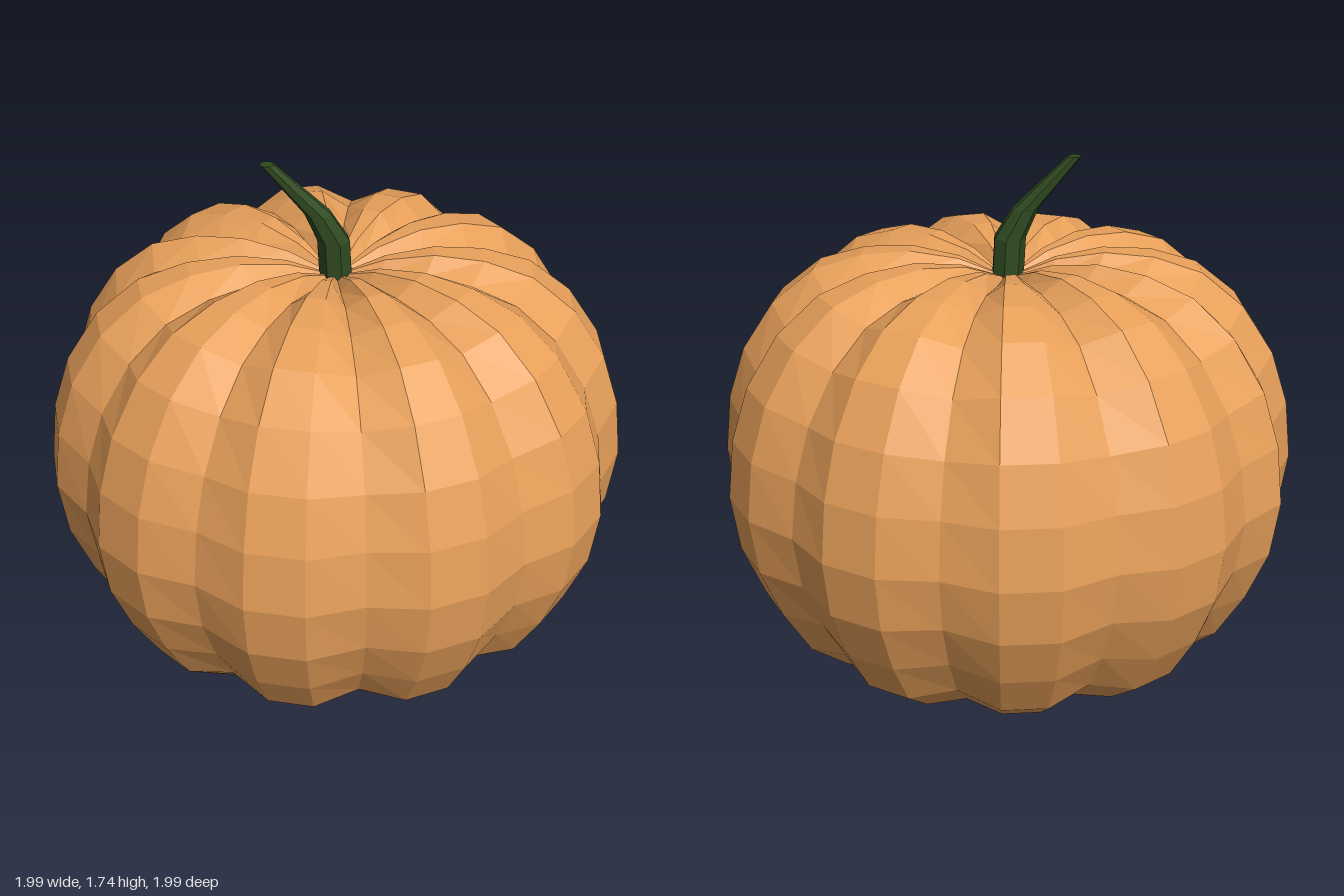
import * as THREE from 'three';

const SEGMENTS = 32;
const MID = 0.66; // height of the widest ring
const TURN = THREE.MathUtils.degToRad(1.8);

// Ribbed body: a lathe whose groove columns are pulled towards the centre, cut flat at the ground
function createBody() {
  const profile = [
    [0, -0.7], [0.33, -0.75], [0.5, -0.73], [0.665, -0.68], [0.8, -0.555], [0.9, -0.385], [0.975, -0.2],
    [1.003, 0],
    [0.98, 0.205], [0.92, 0.39], [0.81, 0.56], [0.665, 0.68], [0.5, 0.735], [0.33, 0.75], [0.165, 0.725], [0, 0.66],
  ].map(([r, h]) => new THREE.Vector2(r, h));

  const geometry = new THREE.LatheGeometry(profile, SEGMENTS, TURN);
  const grooves = new Set([0, 3, 6, 9, 12, 15, 18, 21, 24, 26, 29]);
  const pos = geometry.attributes.position;
  for (let k = 0; k < pos.count; k++) {
    const column = Math.floor(k / profile.length) % SEGMENTS;
    const h = pos.getY(k);
    const onAxis = k % profile.length === 0 || k % profile.length === profile.length - 1;
    const pull = grooves.has(column) && !onAxis ? 0.95 - 0.02 * Math.abs(h) : 1;
    pos.setXYZ(k, pos.getX(k) * pull - 0.004, Math.max(0, MID + h * pull), pos.getZ(k) * pull);
  }
  geometry.computeVertexNormals();

  const material = new THREE.MeshStandardMaterial({ color: 0xe8a05a, flatShading: true });
  const body = new THREE.Mesh(geometry, material);
  body.name = 'pumpkinBody';
  return body;
}

// Bent, tapering stem: a capped cylinder whose rings follow a leaning path
function createStem() {
  // x, y, z, radius from base to tip
  const rings = [
    [0, 1.3, 0.005, 0.056],
    [-0.005, 1.46, 0.012, 0.056],
    [-0.046, 1.56, 0.044, 0.046],
    [-0.18, 1.742, 0.14, 0.024],
  ];
  const last = rings.length - 1;
  const geometry = new THREE.CylinderGeometry(1, 1, last, 7, last);
  const pos = geometry.attributes.position;
  for (let k = 0; k < pos.count; k++) {
    const [x, y, z, r] = rings[Math.round(pos.getY(k) + last / 2)];
    pos.setXYZ(k, x + pos.getX(k) * r, y, z + pos.getZ(k) * r);
  }
  geometry.computeVertexNormals();

  const material = new THREE.MeshStandardMaterial({ color: 0x2f4a20, flatShading: true });
  const stem = new THREE.Mesh(geometry, material);
  stem.name = 'stem';
  return stem;
}

export function createModel() {
  const group = new THREE.Group();
  group.name = 'pumpkin';
  group.add(createBody(), createStem());
  return group;
}
